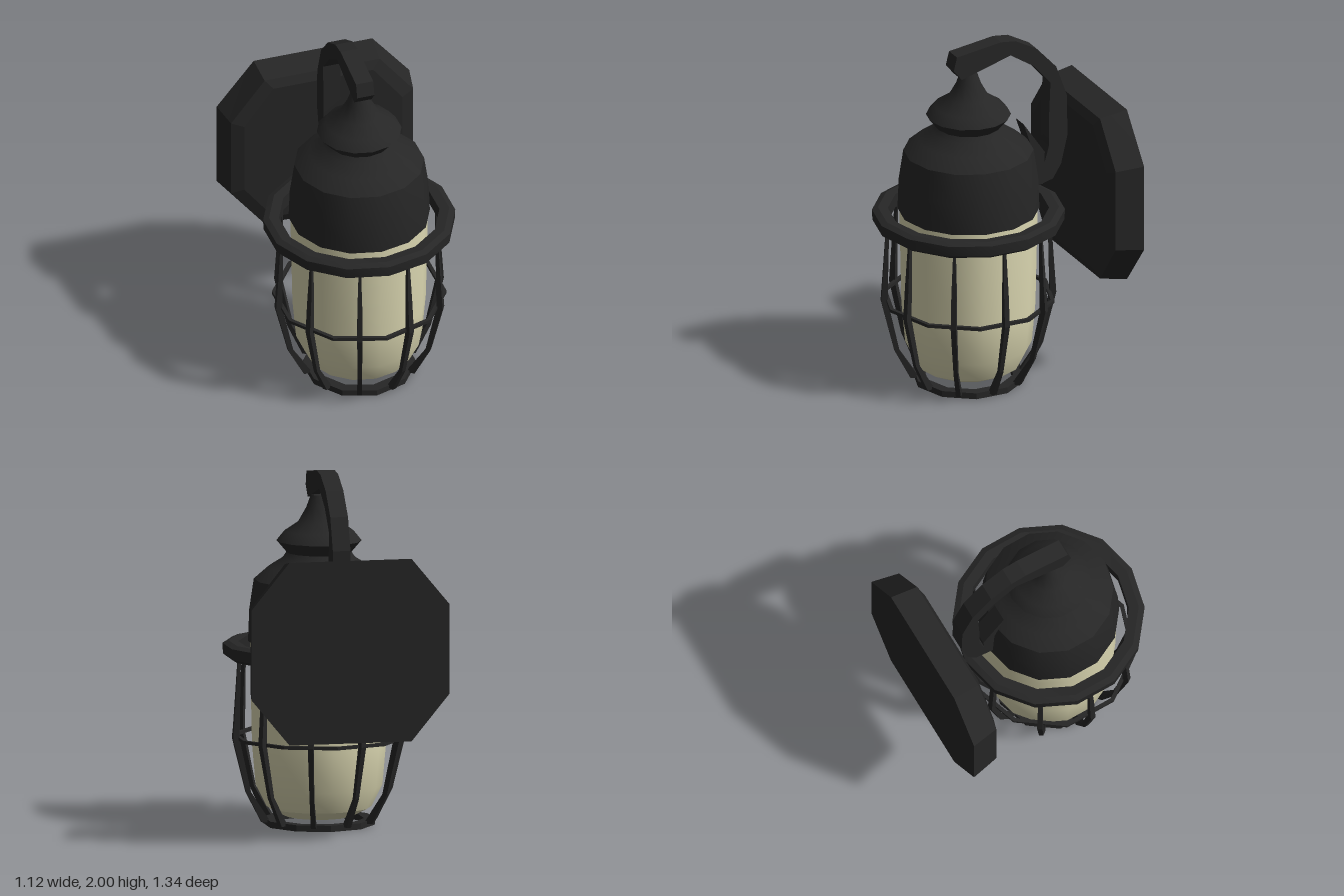
import * as THREE from 'three';
import { toCreasedNormals } from 'three/addons/utils/BufferGeometryUtils.js';

const metal = new THREE.MeshStandardMaterial({ color: 0x262626 });
metal.name = 'blackMetal';
const cream = new THREE.MeshStandardMaterial({ color: 0xdcd8b2 });
cream.name = 'creamGlass';

const AXIS_Z = 0.135; // the lantern hangs in front of the wall plate

function add(parent, name, geometry, material, crease = 0.45) {
  const mesh = new THREE.Mesh(toCreasedNormals(geometry, crease), material);
  mesh.name = name;
  parent.add(mesh);
  return mesh;
}

// Profile points are [radius, height], listed upwards on the outside
function lathe(points, segments) {
  return new THREE.LatheGeometry(points.map(([r, y]) => new THREE.Vector2(r, y)), segments);
}

// Rectangular hoop, starting at the lower inner corner
function hoop(inner, outer, low, high, segments) {
  return lathe([[inner, low], [outer, low], [outer, high], [inner, high], [inner, low]], segments);
}

// Side outline in [z, y], extruded across x
function sideExtrude(points, width) {
  const shape = new THREE.Shape(points.map(([z, y]) => new THREE.Vector2(z, y)));
  const geo = new THREE.ExtrudeGeometry(shape, { depth: width, bevelEnabled: false });
  geo.translate(0, 0, -width / 2);
  geo.rotateY(-Math.PI / 2);
  return geo;
}

// Tapered cage bar running down the outside of the glass
function cageBar() {
  const rows = [ // radius, height, half width, half depth
    [0.3, 0.02, 0.014, 0.025], [0.4, 0.19, 0.012, 0.014], [0.47, 0.49, 0.015, 0.018],
    [0.462, 0.68, 0.014, 0.013], [0.45, 0.96, 0.006, 0.008],
  ];
  const geo = new THREE.BoxGeometry(2, 4, 2, 1, 4, 1);
  const p = geo.attributes.position;
  for (let i = 0; i < p.count; i++) {
    const [r, y, w, d] = rows[Math.round(p.getY(i) + 2)];
    p.setXYZ(i, p.getX(i) * w, y, r + p.getZ(i) * d);
  }
  return geo;
}

// Octagonal plate made of shrinking cross-sections from wall to face
function plateGeometry() {
  const levels = [ // z, half width, half height, chamfer x, chamfer y
    [-0.67, 0.56, 0.51, 0.215, 0.26],
    [-0.51, 0.53, 0.48, 0.195, 0.245],
    [-0.488, 0.46, 0.43, 0.17, 0.22],
  ];
  const cy = 1.08, verts = [], index = [];
  for (const [z, w, h, a, b] of levels) {
    for (const [x, y] of [[w, b - h], [w, h - b], [w - a, h], [a - w, h],
      [-w, h - b], [-w, b - h], [a - w, -h], [w - a, -h]]) verts.push(x, cy + y, z);
  }
  for (let l = 0; l < 2; l++) {
    for (let i = 0; i < 8; i++) {
      const a = l * 8 + i, b = l * 8 + (i + 1) % 8;
      index.push(a, b, b + 8, a, b + 8, a + 8);
    }
  }
  for (let i = 1; i < 7; i++) index.push(0, i + 1, i, 16, 16 + i, 17 + i);
  const geo = new THREE.BufferGeometry();
  geo.setAttribute('position', new THREE.Float32BufferAttribute(verts, 3));
  geo.setIndex(index);
  geo.computeVertexNormals();
  return geo;
}

export function createModel() {
  const model = new THREE.Group();
  model.name = 'wallLantern';

  // Wall plate and curved arm
  add(model, 'wallPlate', plateGeometry(), metal, 0.1);
  add(model, 'arm', sideExtrude([
    [0.25, 1.88], [0.23, 1.96], [-0.04, 2.0], [-0.13, 1.99], [-0.26, 1.92], [-0.38, 1.79],
    [-0.445, 1.61], [-0.45, 1.37], [-0.41, 1.2], [-0.36, 1.12], [-0.25, 1.09],
    [-0.25, 1.2], [-0.31, 1.23], [-0.335, 1.32], [-0.335, 1.47], [-0.345, 1.7],
    [-0.24, 1.82], [-0.1, 1.91], [0.13, 1.84], [0.2, 1.82],
  ], 0.1), metal, 0.1);
  add(model, 'armBracket', sideExtrude([
    [-0.18, 1.48], [-0.24, 1.3], [-0.25, 1.1], [-0.3, 1.1], [-0.31, 1.29],
  ], 0.1), metal, 0.1);

  const lantern = new THREE.Group();
  lantern.name = 'lantern';
  lantern.position.z = AXIS_Z;
  model.add(lantern);

  // Glass bowl
  add(lantern, 'glass', lathe([
    [0, 0.04], [0.19, 0.05], [0.29, 0.1], [0.35, 0.22], [0.37, 0.45], [0.38, 0.93], [0.38, 1.03],
  ], 14), cream, 0.6);

  // Domed cap with its flared finial
  add(lantern, 'cap', lathe([
    [0, 1.02], [0.392, 1.02], [0.385, 1.2], [0.36, 1.37], [0.28, 1.44], [0.2, 1.49],
    [0.18, 1.52], [0.235, 1.585], [0.19, 1.64], [0.115, 1.69], [0.07, 1.77], [0.045, 1.84], [0, 1.86],
  ], 14), metal, 0.6);

  // Guard cage: collar, middle wire, foot ring and upright bars
  add(lantern, 'collar', lathe([
    [0.445, 0.94], [0.5, 0.93], [0.53, 0.95], [0.533, 1.01], [0.5, 1.025], [0.445, 1.02], [0.445, 0.94],
  ], 14), metal);
  add(lantern, 'middleWire', hoop(0.46, 0.482, 0.482, 0.5, 10), metal);
  add(lantern, 'footRing', hoop(0.25, 0.31, 0, 0.035, 10), metal);
  for (let i = 0; i < 10; i++) {
    const bar = add(lantern, 'cageBar', cageBar(), metal, 0.1);
    bar.rotation.y = (i + 0.5) * Math.PI / 5;
  }
  return model;
}
